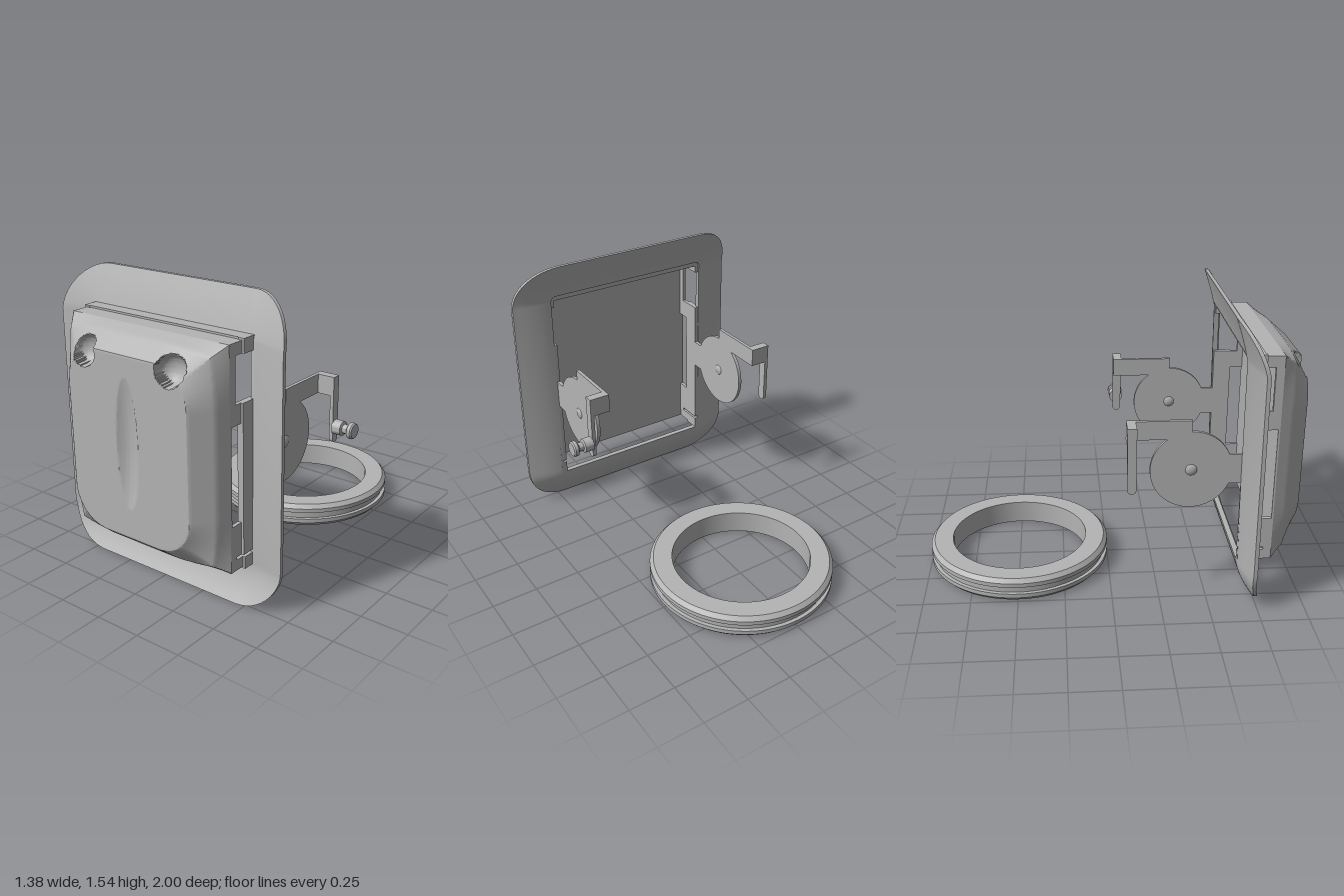
import * as THREE from 'three';
import { mergeVertices, toCreasedNormals } from 'three/addons/utils/BufferGeometryUtils.js';

const grey = new THREE.MeshStandardMaterial({ color: 0xb4b4b4 });
grey.name = 'grey';

function add(parent, name, geometry) {
  const mesh = new THREE.Mesh(geometry, grey);
  mesh.name = name;
  parent.add(mesh);
  return mesh;
}

// Box given by its limits on each axis
function block(parent, name, [x0, x1], [y0, y1], [z0, z1]) {
  const mesh = add(parent, name, new THREE.BoxGeometry(x1 - x0, y1 - y0, z1 - z0));
  mesh.position.set((x0 + x1) / 2, (y0 + y1) / 2, (z0 + z1) / 2);
  return mesh;
}

// Counter-clockwise rounded rectangle, symmetric in x
function roundedLoop(hw, y0, y1, r, steps = 12) {
  const corners = [[hw - r, y1 - r], [r - hw, y1 - r], [r - hw, y0 + r], [hw - r, y0 + r]];
  return corners.flatMap(([cx, cy], k) => Array.from({ length: steps + 1 }, (_, i) => {
    const a = (k + i / steps) * Math.PI / 2;
    return [cx + r * Math.cos(a), cy + r * Math.sin(a)];
  }));
}

// Curved surround: sides and bottom sweep forward, the top leans back
function bend(x, y) {
  const side = Math.max(0, (Math.abs(x) - 0.48) / 0.21);
  const top = Math.max(0, (y - 1.27) / 0.27);
  const low = Math.max(0, (0.2 - y) / 0.2);
  return 0.66 + 0.05 * side ** 1.5 - 0.075 * top ** 1.3 + 0.09 * low ** 1.7;
}

function surroundGeometry() {
  const rings = 7, pos = [], index = [];
  const sections = [];
  for (let i = 0; i <= rings; i++) sections.push([i / rings, 1]);
  for (let i = rings; i >= 0; i--) sections.push([i / rings, 0]);
  const mix = THREE.MathUtils.lerp;
  let n = 0;
  for (const [t, front] of sections) {
    const loop = roundedLoop(mix(0.485, 0.69, t), mix(0.2, 0, t), mix(1.35, 1.54, t), mix(0.03, 0.24, t));
    n = loop.length;
    for (const [x, y] of loop) pos.push(x, y, bend(x, y) + front * mix(0.03, 0.02, t));
  }
  const m = sections.length;
  for (let i = 0; i < m; i++) for (let j = 0; j < n; j++) {
    const i2 = (i + 1) % m, j2 = (j + 1) % n;
    const a = i * n + j, b = i2 * n + j, c = i2 * n + j2, d = i * n + j2;
    index.push(a, b, c, a, c, d);
  }
  const g = new THREE.BufferGeometry();
  g.setAttribute('position', new THREE.Float32BufferAttribute(pos, 3));
  g.setIndex(index);
  return toCreasedNormals(g, 0.6);
}

// Cover height: flat rounded face, sloped border, two bowls and a long groove
function coverHeight(x, y) {
  const ax = Math.abs(x), r = 0.2;
  const qx = ax - (0.37 - r), qy = Math.abs(y - 0.775) - (0.465 - r);
  const d = Math.hypot(Math.max(qx, 0), Math.max(qy, 0)) + Math.min(Math.max(qx, qy), 0) - r;
  const edge = Math.max(0, Math.min(0.485 - ax, y - 0.21, 1.34 - y));
  const t = d > 0 ? d / (d + edge) : 0;
  let z = t < 0.75 ? 1 - 0.09 * t / 0.75 : 0.91 - 0.07 * (t - 0.75) / 0.25;
  const bowl = 0.075 ** 2 - (ax - 0.265) ** 2 - (y - 1.215) ** 2;
  if (bowl > 0) z = Math.min(z, 0.965 - Math.sqrt(bowl) * 0.75);
  const groove = 1 - (x / 0.068) ** 2 - ((y - 0.8) / 0.335) ** 2;
  if (groove > 0) z -= 0.03 * groove;
  return z;
}

function coverGeometry() {
  const g = new THREE.PlaneGeometry(0.97, 1.13, 140, 160);
  g.translate(0, 0.775, 0);
  const p = g.attributes.position;
  for (let i = 0; i < p.count; i++) p.setZ(i, coverHeight(p.getX(i), p.getY(i)));
  g.deleteAttribute('uv');
  g.deleteAttribute('normal');
  return toCreasedNormals(mergeVertices(g), 0.5);
}

function lathe(points, segments) {
  const g = new THREE.LatheGeometry(points.map(([x, y]) => new THREE.Vector2(x, y)), segments);
  return toCreasedNormals(g, 0.5);
}

// Side fittings: mounting rails, pivot disc and cranked arm; s is +1 or -1
function sideFittings(s) {
  const group = new THREE.Group();
  group.name = s > 0 ? 'leftFittings' : 'rightFittings';
  const put = (name, x, y, z) => block(group, name, s > 0 ? x : [-x[1], -x[0]], y, z);

  // rails and posts holding the cover to the surround
  put('mountRail', [0.465, 0.498], [0.28, 1.05], [0.66, 0.76]);
  put('upperBracket', [0.465, 0.485], [0.95, 1.05], [0.76, 0.83]);
  put('lowerBracket', [0.465, 0.485], [0.28, 0.45], [0.76, 0.83]);
  put('upperPost', [0.465, 0.498], [1.28, 1.35], [0.66, 0.75]);
  put('upperPostTip', [0.465, 0.485], [1.28, 1.34], [0.75, 0.83]);
  put('lowerPost', [0.465, 0.498], [0.2, 0.265], [0.66, 0.75]);
  put('lowerPostTip', [0.465, 0.485], [0.21, 0.265], [0.75, 0.83]);
  put('upperCoverEdge', [0.465, 0.485], [1.05, 1.28], [0.797, 0.83]);
  put('lowerCoverEdge', [0.465, 0.485], [0.265, 0.28], [0.797, 0.83]);

  // pivot disc with its tab and boss
  put('pivotTab', [0.463, 0.482], [0.66, 0.82], [0.56, 0.67]);
  const disc = add(group, 'pivotDisc', new THREE.CylinderGeometry(0.21, 0.21, 0.019, 64));
  disc.rotation.z = Math.PI / 2;
  disc.position.set(s * 0.4725, 0.74, 0.4);
  const boss = add(group, 'pivotBoss', new THREE.SphereGeometry(0.035, 24, 16));
  boss.scale.x = 0.55;
  boss.position.set(s * 0.4725, 0.74, 0.4);

  // arm, outward step and hanging leg
  put('arm', [0.463, 0.482], [0.91, 1.01], [0.07, 0.4]);
  put('armRoot', [0.463, 0.482], [0.8, 0.92], [0.28, 0.4]);
  put('armStep', [0.463, 0.575], [0.91, 1.01], [0.068, 0.115]);
  put('leg', [0.555, 0.575], [0.68, 0.91], [0.068, 0.115]);
  const tip = add(group, 'legTip', new THREE.CylinderGeometry(0.0235, 0.0235, 0.02, 24));
  tip.rotation.z = Math.PI / 2;
  tip.position.set(s * 0.565, 0.68, 0.0915);
  return group;
}

export function createModel() {
  const model = new THREE.Group();
  model.name = 'hatchAssembly';

  add(model, 'surround', surroundGeometry());

  // cover with closed back and top lip
  const cover = new THREE.Group();
  cover.name = 'cover';
  model.add(cover);
  add(cover, 'coverFace', coverGeometry());
  block(cover, 'coverBack', [-0.485, 0.485], [0.21, 1.34], [0.83, 0.84]);
  block(cover, 'topWall', [-0.47, 0.47], [1.32, 1.34], [0.66, 0.83]);
  block(cover, 'topLip', [-0.498, 0.498], [1.335, 1.35], [0.66, 0.745]);

  model.add(sideFittings(1), sideFittings(-1));

  // grooved pin on the left leg
  const pin = add(model, 'pin', lathe([
    [0, 0], [0.038, 0], [0.038, 0.05], [0.024, 0.055], [0.024, 0.08],
    [0.032, 0.09], [0.042, 0.092], [0.042, 0.11], [0.036, 0.117], [0, 0.117],
  ], 32));
  pin.rotation.z = -Math.PI / 2;
  pin.position.set(0.572, 0.74, 0.088);

  // loose ring with a groove round its rim
  const ring = add(model, 'ring', lathe([
    [0.378, 0], [0.48, 0], [0.5, 0.022], [0.5, 0.045], [0.48, 0.045], [0.48, 0.085],
    [0.5, 0.085], [0.5, 0.108], [0.48, 0.13], [0.378, 0.13], [0.378, 0],
  ], 96));
  ring.position.z = -0.5;

  return model;
}
